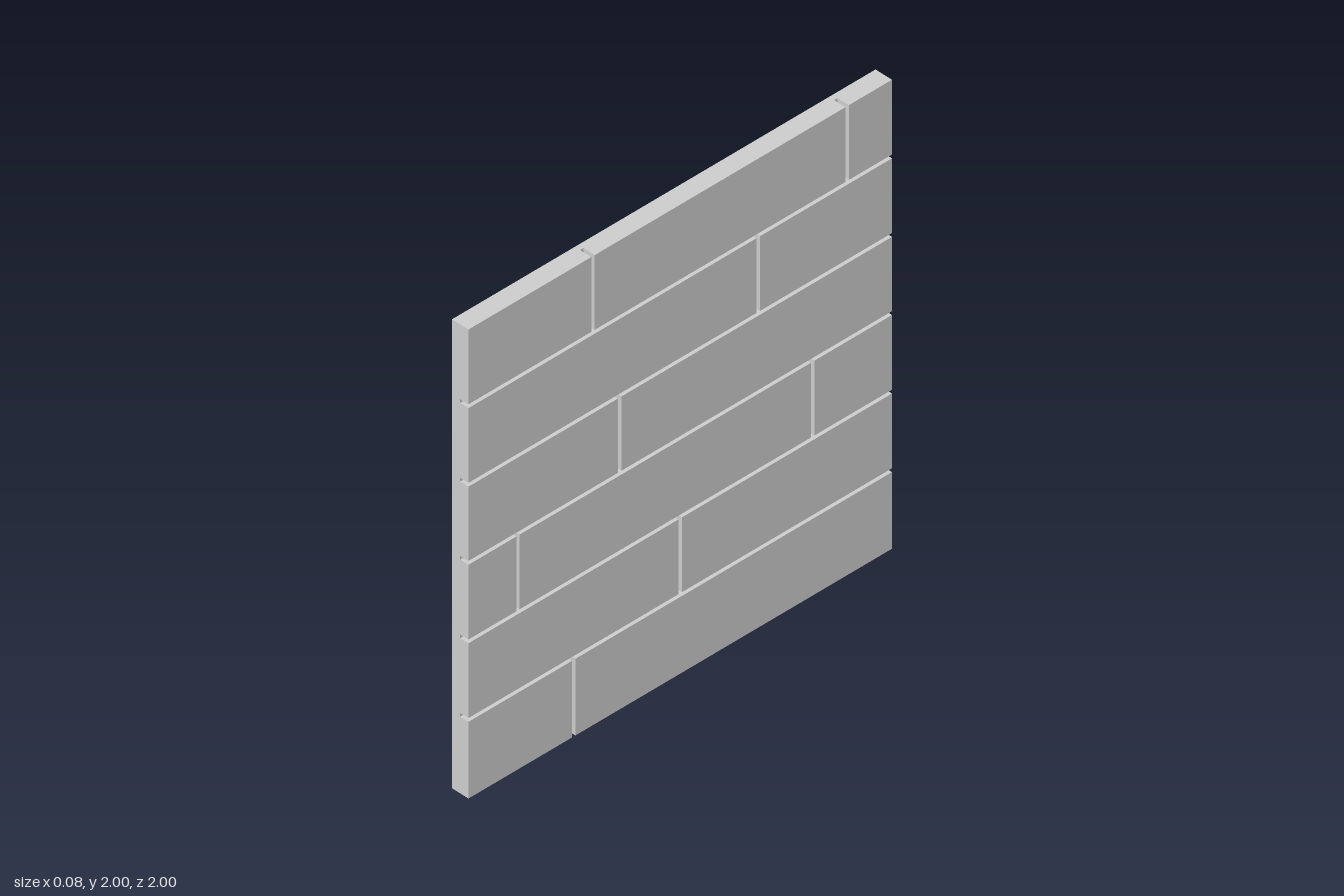
import * as THREE from 'three';

const BACK = -0.04, FRONT = 0.04;      // slab thickness along x, grooved side is +x
const BED_FLOOR = 0, JOINT_FLOOR = -0.015; // groove floors
const HEIGHT = 2, HALF_LENGTH = 1, HALF_GROOVE = 0.008;

const bedHeights = [0.335, 0.67, 1.005, 1.338, 1.673];
// z of the upright joints in each course, bottom to top
const courseJoints = [[0.503], [0], [0.766, -0.625], [0.286], [-0.369], [0.412, -0.788]];

const material = new THREE.MeshStandardMaterial({ color: 0xcccccc, flatShading: true });

// Collects quads into one surface
function createSurface() {
  const positions = [];
  const quad = (a, b, c, d) => positions.push(...a, ...b, ...c, ...a, ...c, ...d);
  return {
    // Upright walls along a closed [x, z] outline
    walls(outline, y0, y1) {
      outline.forEach(([x, z], i) => {
        const [u, w] = outline[(i + 1) % outline.length];
        quad([x, y0, z], [u, y0, w], [u, y1, w], [x, y1, z]);
      });
    },
    // Level rectangle facing up or down
    level(y, x0, x1, zMax, zMin, up) {
      const c = [[x0, y, zMax], [x1, y, zMax], [x1, y, zMin], [x0, y, zMin]];
      quad(...(up ? c : c.reverse()));
    },
    mesh(name) {
      const geometry = new THREE.BufferGeometry();
      geometry.setAttribute('position', new THREE.Float32BufferAttribute(positions, 3));
      geometry.computeVertexNormals();
      const mesh = new THREE.Mesh(geometry, material);
      mesh.name = name;
      return mesh;
    },
  };
}

// One course of blocks with its upright joints cut in
function createCourse(joints, index) {
  const surface = createSurface();
  const last = courseJoints.length - 1;
  const y0 = index === 0 ? 0 : bedHeights[index - 1] + HALF_GROOVE;
  const y1 = index === last ? HEIGHT : bedHeights[index] - HALF_GROOVE;

  const outline = [[FRONT, HALF_LENGTH]];
  const cuts = [HALF_LENGTH];
  for (const z of joints) {
    const a = z + HALF_GROOVE, b = z - HALF_GROOVE;
    outline.push([FRONT, a], [JOINT_FLOOR, a], [JOINT_FLOOR, b], [FRONT, b]);
    cuts.push(a, b);
  }
  cuts.push(-HALF_LENGTH);
  outline.push([FRONT, -HALF_LENGTH], [BACK, -HALF_LENGTH], [BACK, HALF_LENGTH]);
  surface.walls(outline, y0, y1);

  // Upper and lower faces: whole at the slab's ends, block ledges at the bed grooves
  for (const [y, up, isOuter] of [[y0, false, index === 0], [y1, true, index === last]]) {
    if (isOuter) surface.level(y, BACK, JOINT_FLOOR, HALF_LENGTH, -HALF_LENGTH, up);
    for (let i = 0; i < cuts.length - 1; i++) {
      const isBlock = i % 2 === 0;
      if (isBlock) surface.level(y, isOuter ? JOINT_FLOOR : BED_FLOOR, FRONT, cuts[i], cuts[i + 1], up);
      else if (!isOuter) surface.level(y, JOINT_FLOOR, BED_FLOOR, cuts[i], cuts[i + 1], !up);
    }
  }
  return surface.mesh(`blockCourse${index + 1}`);
}

// Recessed strip between two courses
function createBed(y, index) {
  const surface = createSurface();
  const L = HALF_LENGTH;
  surface.walls([[BED_FLOOR, L], [BED_FLOOR, -L], [BACK, -L], [BACK, L]], y - HALF_GROOVE, y + HALF_GROOVE);
  return surface.mesh(`bedGroove${index + 1}`);
}

export function createModel() {
  const wall = new THREE.Group();
  wall.name = 'blockWallPanel';
  wall.add(...courseJoints.map(createCourse), ...bedHeights.map(createBed));
  return wall;
}
